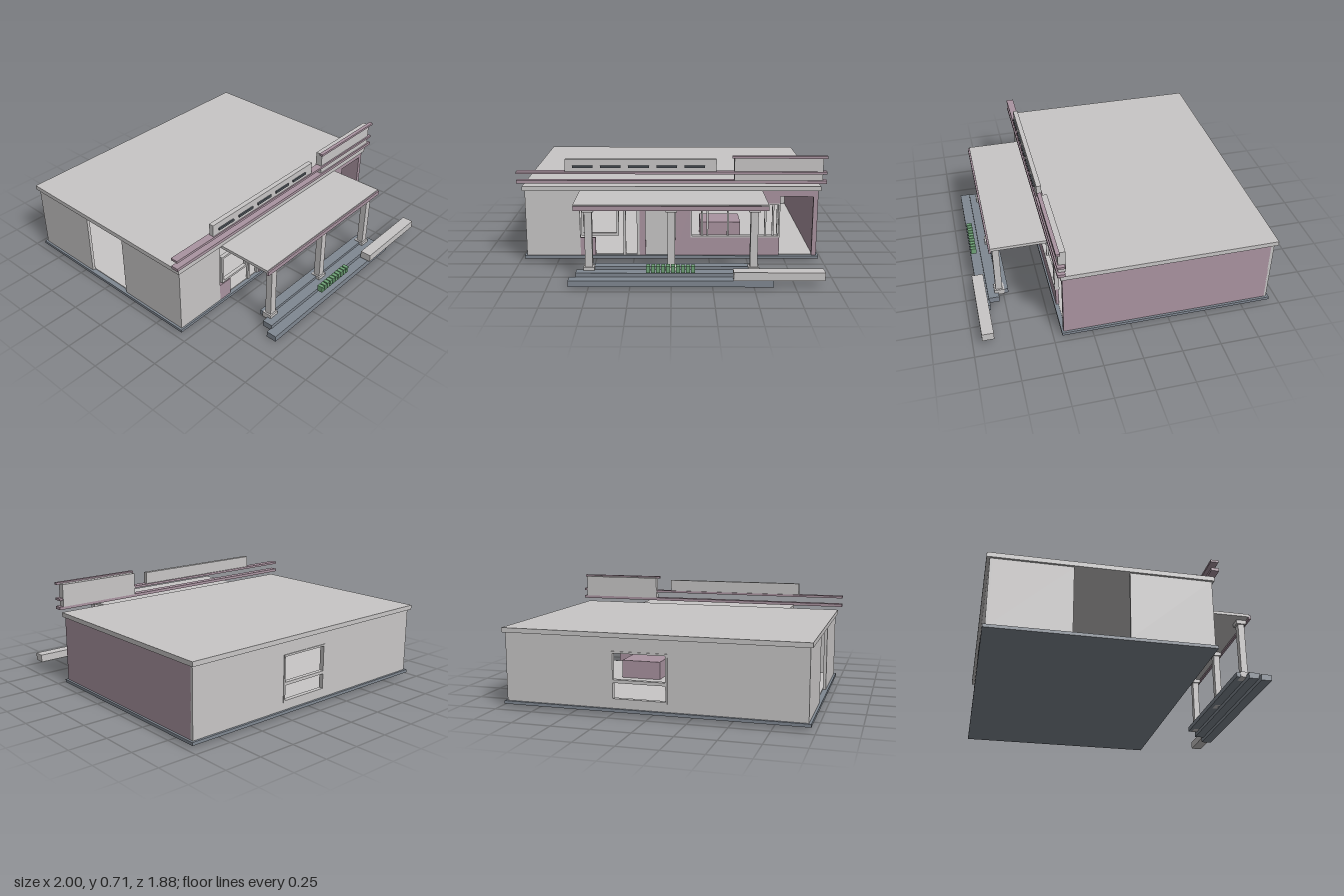
import * as THREE from 'three';

const mat = (name, color) => Object.assign(new THREE.MeshStandardMaterial({ color }), { name });

export function createModel() {
  const grey = mat('paleGrey', 0xc8c6c6);
  const mauve = mat('mauve', 0xaa94a1);
  const slate = mat('slate', 0x808892);
  const green = mat('leafGreen', 0x6fa377);
  const dark = mat('darkSlot', 0x565c63);

  const model = new THREE.Group();
  model.name = 'shopBuilding';
  const group = (name) => {
    const g = new THREE.Group();
    g.name = name;
    model.add(g);
    return g;
  };
  // box given by its two extents on each axis
  const box = (parent, name, m, [x0, x1], [y0, y1], [z0, z1]) => {
    const mesh = new THREE.Mesh(new THREE.BoxGeometry(x1 - x0, y1 - y0, z1 - z0), m);
    mesh.position.set((x0 + x1) / 2, (y0 + y1) / 2, (z0 + z1) / 2);
    mesh.name = name;
    parent.add(mesh);
  };
  // rectangular ring in the xy plane
  const frame = (parent, name, m, [x0, x1], [y0, y1], z, t) => {
    box(parent, name, m, [x0, x1], [y0, y0 + t], z);
    box(parent, name, m, [x0, x1], [y1 - t, y1], z);
    box(parent, name, m, [x0, x0 + t], [y0 + t, y1 - t], z);
    box(parent, name, m, [x1 - t, x1], [y0 + t, y1 - t], z);
  };

  // foundation, floor and roof
  const shell = group('shell');
  box(shell, 'foundation', slate, [-0.97, 0.97], [0.02, 0.04], [-0.935, 0.447]);
  box(shell, 'floor', grey, [-0.935, 0.93], [0.04, 0.045], [-0.89, 0.42]);
  box(shell, 'roof', grey, [-0.97, 0.97], [0.48, 0.51], [-0.94, 0.447]);

  // side walls; the left-hand one as seen from the front has a full-height gap
  const H = [0.04, 0.48];
  box(shell, 'sideWall', mauve, [0.93, 0.955], H, [-0.905, 0.425]);
  box(shell, 'sideWall', grey, [-0.955, -0.935], H, [-0.905, -0.42]);
  box(shell, 'sideWall', grey, [-0.955, -0.935], H, [-0.08, 0.425]);

  // back wall around a tall window with a transom
  const zb = [-0.92, -0.9];
  box(shell, 'backWall', grey, [-0.955, -0.11], H, zb);
  box(shell, 'backWall', grey, [0.25, 0.955], H, zb);
  box(shell, 'backWall', grey, [-0.11, 0.25], [0.395, 0.48], zb);
  box(shell, 'backWall', grey, [-0.11, 0.25], [0.04, 0.09], zb);
  frame(shell, 'backWindowFrame', grey, [-0.11, 0.25], [0.09, 0.395], [-0.925, -0.895], 0.012);
  box(shell, 'backTransom', grey, [-0.11, 0.25], [0.2, 0.22], [-0.925, -0.895]);

  // front wall
  const front = group('frontWall');
  const zf = [0.415, 0.435];
  box(front, 'plainWall', grey, [-0.955, -0.6], H, zf);
  box(front, 'lowWall', mauve, [-0.6, -0.5], [0.04, 0.16], zf);
  box(front, 'entryPier', mauve, [-0.21, -0.17], H, zf);
  box(front, 'door', grey, [-0.17, 0.025], [0.04, 0.4], [0.41, 0.425]);
  box(front, 'header', mauve, [-0.17, 0.71], [0.395, 0.48], zf);
  box(front, 'header', mauve, [0.71, 0.93], [0.44, 0.48], zf);
  box(front, 'windowPier', mauve, [0.025, 0.13], [0.04, 0.395], zf);
  box(front, 'windowSill', mauve, [0.13, 0.71], [0.04, 0.17], zf);
  box(front, 'doorEdge', mauve, [0.925, 0.955], H, zf);
  frame(front, 'openWindowFrame', grey, [-0.59, -0.345], [0.18, 0.385], [0.42, 0.445], 0.015);
  frame(front, 'shopWindowFrame', grey, [0.125, 0.71], [0.165, 0.395], [0.41, 0.44], 0.01);
  for (const x of [0.195, 0.23, 0.365, 0.61, 0.66, 0.69])
    box(front, 'mullion', grey, [x, x + 0.012], [0.17, 0.39], [0.415, 0.43]);
  for (const x of [-0.318, -0.228])
    box(front, 'entryPost', grey, [x, x + 0.018], H, [0.41, 0.43]);

  // counter inside
  box(group('interior'), 'counter', mauve, [0.2, 0.48], [0.045, 0.17], [-0.13, 0.1]);

  // porch: canopy, columns and steps
  const porch = group('porch');
  box(porch, 'canopy', grey, [-0.595, 0.59], [0.465, 0.485], [0.43, 0.815]);
  box(porch, 'fascia', mauve, [-0.595, 0.59], [0.45, 0.478], [0.81, 0.825]);
  for (const x of [-0.507, 0, 0.507]) {
    box(porch, 'column', grey, [x - 0.023, x + 0.023], [0.08, 0.445], [0.757, 0.8]);
    box(porch, 'capital', grey, [x - 0.034, x + 0.034], [0.438, 0.465], [0.745, 0.81]);
    box(porch, 'plinth', grey, [x - 0.034, x + 0.034], [0.05, 0.087], [0.745, 0.81]);
  }
  box(porch, 'bottomStep', slate, [-0.625, 0.62], [0, 0.04], [0.85, 0.92]);
  box(porch, 'middleStep', slate, [-0.585, 0.58], [0.025, 0.065], [0.785, 0.855]);
  box(porch, 'topStep', slate, [-0.535, 0.535], [0.05, 0.083], [0.72, 0.785]);

  // long planter and the row of shrubs
  box(porch, 'planter', grey, [0.375, 0.925], [0.048, 0.1], [0.865, 0.94]);
  for (let i = 0; i < 10; i++) {
    const x = -0.15 + i * 0.03;
    box(porch, 'shrub', green, [x, x + 0.023], [0.09, 0.132], [0.88, 0.917]);
  }

  // roof bands and sign boards
  const signs = group('roofSigns');
  box(signs, 'lowerBand', mauve, [-1, 1], [0.535, 0.555], [0.42, 0.47]);
  box(signs, 'upperBand', mauve, [-1, 1], [0.597, 0.612], [0.42, 0.47]);
  box(signs, 'tallBoard', grey, [0.405, 0.975], [0.555, 0.705], [0.413, 0.46]);
  box(signs, 'tallBoardTrim', mauve, [0.39, 1], [0.7, 0.715], [0.45, 0.475]);
  box(signs, 'longBoard', grey, [-0.685, 0.29], [0.612, 0.692], [0.43, 0.462]);
  for (let i = 0; i < 5; i++) {
    const x = -0.637 + i * 0.18;
    box(signs, 'slot', dark, [x, x + 0.132], [0.638, 0.652], [0.462, 0.471]);
  }
  return model;
}
